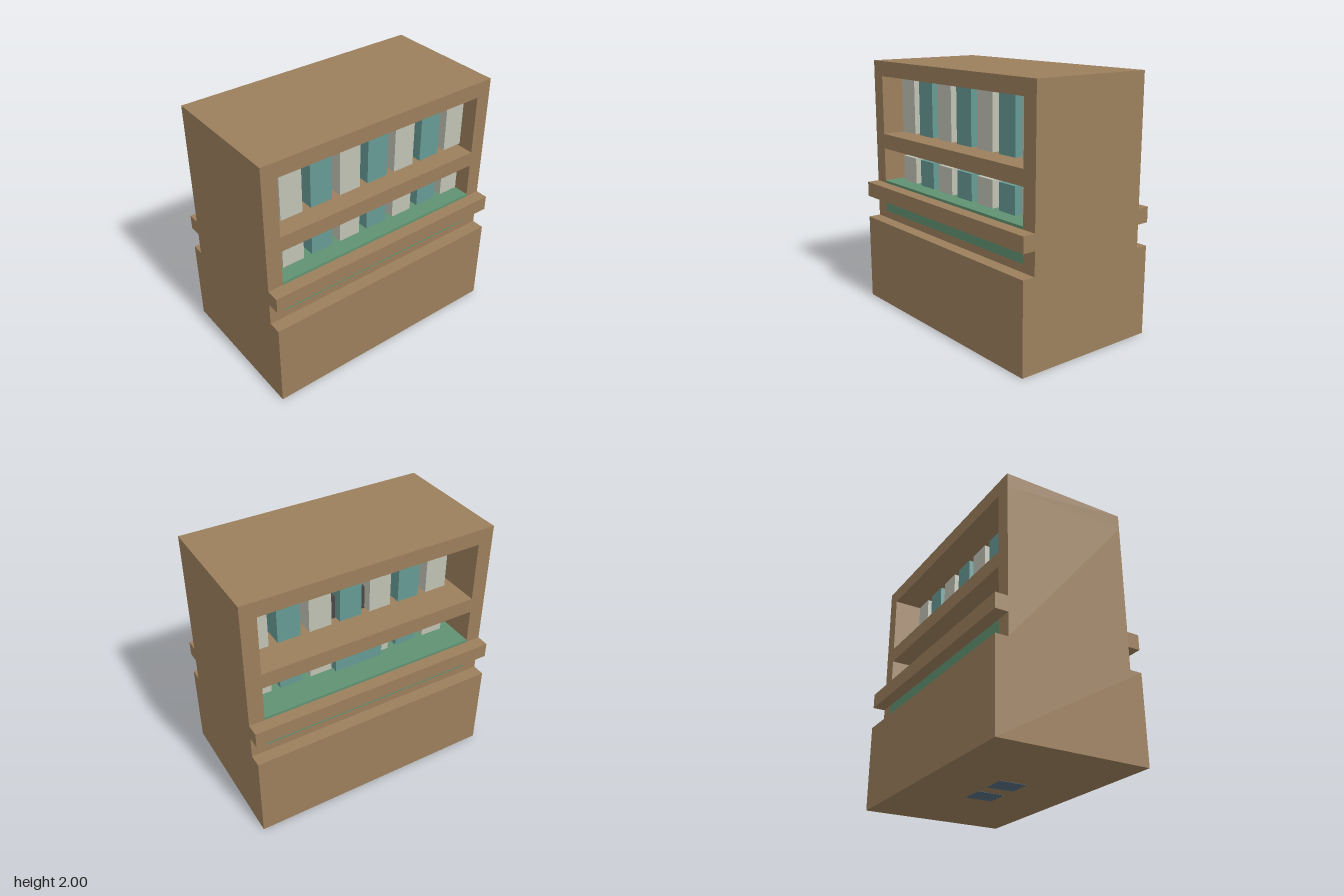
import * as THREE from 'three';

const mat = (color) => new THREE.MeshStandardMaterial({ color });
const wood = mat(0x9c7f5c), green = mat(0x5f9272), pale = mat(0xc0c2b4), teal = mat(0x669a95);
const skin = mat(0xc0a288), hairDark = mat(0x4a4643), blue = mat(0x536c7e);

// Box given by its min and max corners
function block(parent, name, material, [x0, y0, z0], [x1, y1, z1]) {
  const mesh = new THREE.Mesh(new THREE.BoxGeometry(x1 - x0, y1 - y0, z1 - z0), material);
  mesh.position.set((x0 + x1) / 2, (y0 + y1) / 2, (z0 + z1) / 2);
  mesh.name = name;
  parent.add(mesh);
  return mesh;
}

function group(parent, name) {
  const g = new THREE.Group();
  g.name = name;
  parent.add(g);
  return g;
}

export function createModel() {
  const model = new THREE.Group();
  model.name = 'stall';

  // Wooden case, open at front and back
  const stand = group(model, 'case');
  block(stand, 'base', wood, [-1, 0.002, -0.6], [1, 0.7, 0.6]);
  block(stand, 'plinth', wood, [-0.88, 0.7, -0.5], [0.88, 0.76, 0.5]);
  block(stand, 'middleShelf', wood, [-0.88, 1.29, -0.5], [0.88, 1.41, 0.5]);
  block(stand, 'roof', wood, [-1, 1.88, -0.5], [1, 2, 0.5]);
  for (const s of [-1, 1]) {
    const xs = s < 0 ? [-1, -0.88] : [0.88, 1];
    block(stand, s < 0 ? 'rightWall' : 'leftWall', wood, [xs[0], 0.7, -0.5], [xs[1], 1.88, 0.5]);
    // Counter ledges, one on each open side
    const zs = s < 0 ? [-0.6, -0.5] : [0.5, 0.6];
    block(stand, s < 0 ? 'backLedge' : 'frontLedge', wood, [-1, 0.88, zs[0]], [1, 1, zs[1]]);
  }

  // Green counter slab
  block(model, 'greenCounter', green, [-0.88, 0.76, -0.5], [0.88, 1.02, 0.5]);

  // Two rows of upright slabs in alternating colours
  const goods = group(model, 'goods');
  for (const [row, y] of [['lower', 0.78], ['upper', 1.43]]) {
    for (let i = 0; i < 7; i++) {
      const x = -0.79 + i * 0.25;
      block(goods, `${row}Slab${i + 1}`, i % 2 ? teal : pale, [x, y, -0.27], [x + 0.18, y + 0.45, 0.37]);
    }
  }

  // Blocky figure standing inside the case
  const figure = group(model, 'figure');
  block(figure, 'head', skin, [-0.19, 1.165, -0.18], [0.19, 1.54, 0.19]);
  block(figure, 'hairTop', hairDark, [-0.2, 1.54, -0.2], [0.2, 1.61, 0.2]);
  block(figure, 'hairBack', hairDark, [-0.2, 1.42, -0.2], [0.2, 1.54, -0.18]);
  block(figure, 'torso', blue, [-0.2, 0.6, -0.12], [0.2, 1.15, 0.12]);
  block(figure, 'backPack', teal, [-0.2, 0.75, -0.315], [0.2, 1.15, -0.12]);
  for (const s of [-1, 1]) {
    const side = s < 0 ? 'right' : 'left';
    const arm = block(figure, side + 'Arm', skin, [0.21, 0.6, -0.1], [0.42, 1.13, 0.1]);
    const leg = block(figure, side + 'Leg', blue, [0.06, 0, -0.11], [0.25, 0.6, 0.11]);
    const hair = block(figure, side + 'HairSide', hairDark, [0.19, 1.48, -0.2], [0.2, 1.54, 0.19]);
    for (const m of [arm, leg, hair]) m.position.x *= s;
  }

  return model;
}
